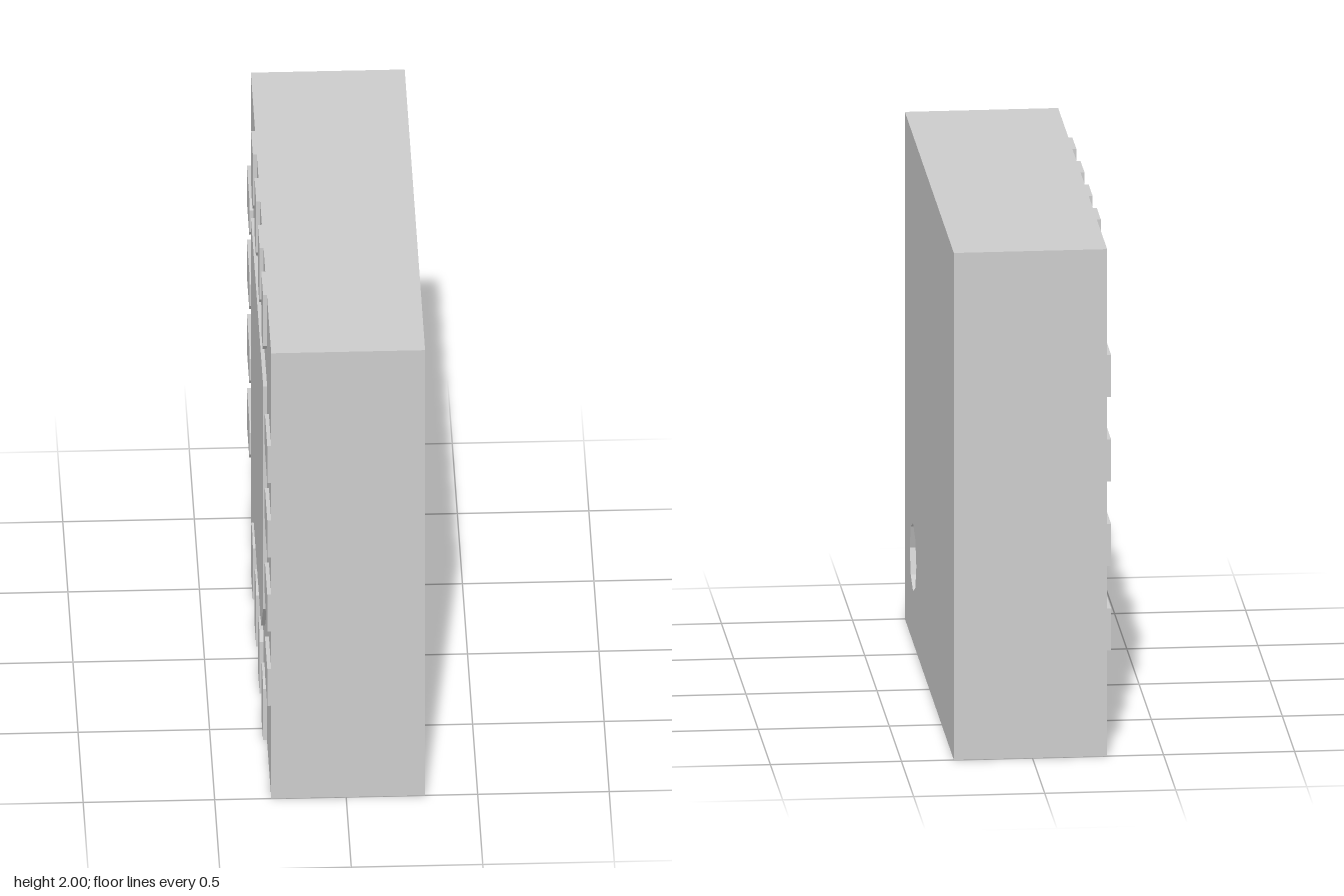
import * as THREE from 'three';

const FRONT = 0.3, BACK = -0.3, PAD = 0.015, RECESS = 0.04;
const material = new THREE.MeshStandardMaterial({ color: 0xcccccc, flatShading: true });

// Extrude an outline along +x; outline coordinates are (-z, y)
function slab(name, points, x, depth, hole) {
  const shape = new THREE.Shape(points.map(([u, v]) => new THREE.Vector2(u, v)));
  if (hole) shape.holes.push(new THREE.Path(hole.map(([u, v]) => new THREE.Vector2(u, v))));
  const geometry = new THREE.ExtrudeGeometry(shape, { depth, bevelEnabled: false });
  geometry.rotateY(Math.PI / 2).translate(x, 0, 0);
  const mesh = new THREE.Mesh(geometry, material);
  mesh.name = name;
  return mesh;
}

export function createModel() {
  const model = new THREE.Group();
  model.name = 'chipPackage';
  const chip = new THREE.Group();
  chip.name = 'chip';
  chip.position.y = 1;
  model.add(chip);

  // Main body, whose front closes the bottom of the marker recess
  const start = BACK + PAD, depth = FRONT - RECESS - start;
  const body = new THREE.Mesh(new THREE.BoxGeometry(depth, 2, 2), material);
  body.name = 'body';
  body.position.x = start + depth / 2;
  chip.add(body);

  // Face layer with an eight-sided orientation marker
  const marker = [];
  for (let i = 0; i < 8; i++) {
    const a = (i * Math.PI) / 4;
    marker.push([-0.667 + 0.134 * Math.cos(a), -0.664 + 0.134 * Math.sin(a)]);
  }
  chip.add(slab('markedFace', [[-1, -1], [1, -1], [1, 1], [-1, 1]], FRONT - RECESS, RECESS, marker));

  // Central pad with one cut corner
  chip.add(slab('centrePad', [[-0.4, -0.6], [0.6, -0.6], [0.6, 0.6], [-0.6, 0.6], [-0.6, -0.4]], BACK, PAD));

  // Four contacts along each edge, with trimmed inner corners
  const w = 0.083, inner = -0.735, c = 0.035;
  const outline = [[-w, -1], [w, -1], [w, inner - c], [w - c, inner], [c - w, inner], [-w, inner - c]];
  for (let side = 0; side < 4; side++) {
    const row = new THREE.Group();
    row.name = 'contactRow' + (side + 1);
    row.rotation.x = (side * Math.PI) / 2;
    for (let i = 0; i < 4; i++) {
      const contact = slab('contact', outline, BACK, PAD);
      contact.position.z = (i - 1.5) / 3;
      row.add(contact);
    }
    chip.add(row);
  }
  return model;
}
